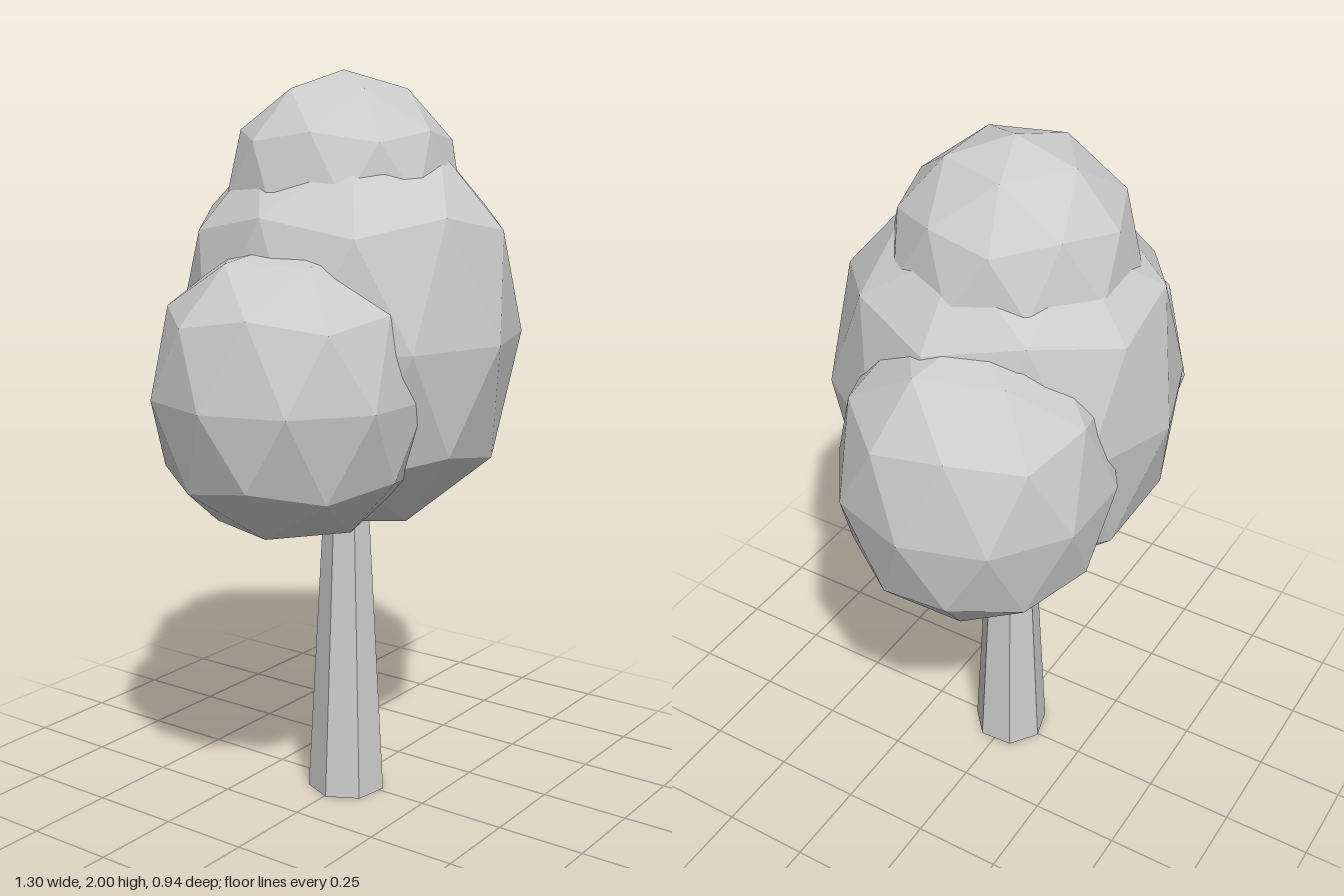
import * as THREE from 'three';

const grey = new THREE.MeshStandardMaterial({ color: 0xcccccc, flatShading: true });
grey.name = 'plain grey';

// Faceted leaf clump: pole upright, turned about y, sides filled out by bulge.
function clump(name, [x, y, z], [rx, ry, rz], turn, bulge) {
  const geo = new THREE.IcosahedronGeometry(1, 1);
  geo.rotateX(-Math.atan((1 + Math.sqrt(5)) / 2));
  geo.rotateY(turn);
  const p = geo.attributes.position;
  for (let i = 0; i < p.count; i++) {
    const u = p.getY(i);
    p.setXYZ(i, p.getX(i) * rx, ((1 + bulge) * u - bulge * u ** 3) * ry, p.getZ(i) * rz);
  }
  geo.computeVertexNormals();
  const mesh = new THREE.Mesh(geo, grey);
  mesh.name = name;
  mesh.position.set(x, y, z);
  return mesh;
}

export function createModel() {
  const tree = new THREE.Group();
  tree.name = 'tree';

  // Seven-sided tapering trunk, its top hidden in the foliage
  const height = 0.95;
  const trunk = new THREE.Mesh(
    new THREE.CylinderGeometry(0.058, 0.11, height, 7, 1, false, THREE.MathUtils.degToRad(15.6)), grey);
  trunk.name = 'trunk';
  trunk.position.set(-0.015, height / 2, 0);
  tree.add(trunk);

  // Foliage
  tree.add(
    clump('middleFoliage', [0, 1.315, 0], [0.45, 0.535, 0.47], Math.PI / 2, 0.21),
    clump('topFoliage', [0, 1.675, -0.02], [0.32, 0.325, 0.32], Math.PI, 0),
    clump('rightFoliage', [-0.29, 1.19, 0.02], [0.36, 0.385, 0.365], Math.PI, 0.15),
    clump('leftFoliage', [0.29, 1.225, -0.08], [0.36, 0.4, 0.36], 0, 0.15),
  );
  return tree;
}
